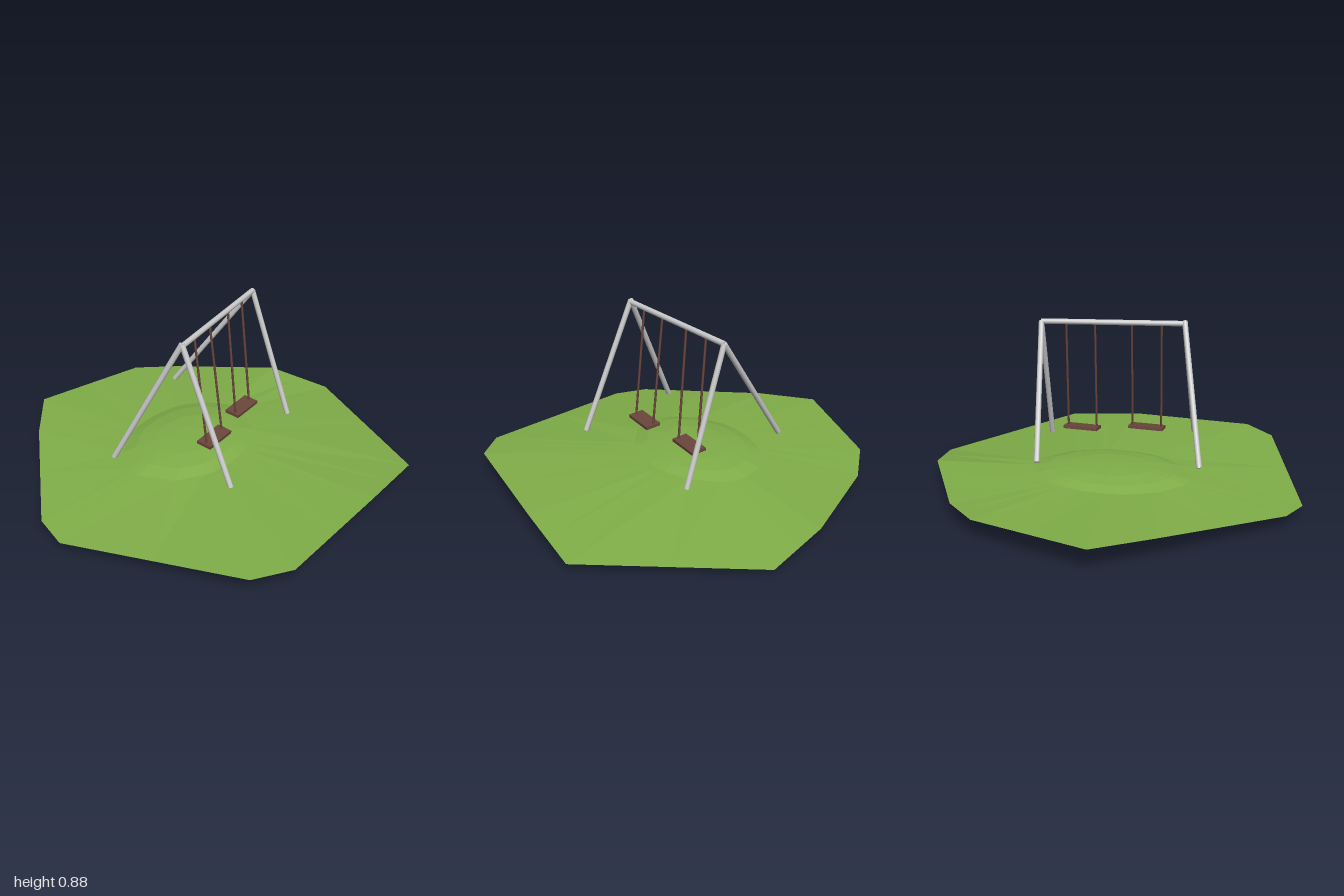
import * as THREE from 'three';

const metal = new THREE.MeshStandardMaterial({ color: 0xcccccc });
const wood = new THREE.MeshStandardMaterial({ color: 0x6b463c });
const grass = new THREE.MeshStandardMaterial({ color: 0x80ae48, flatShading: true, side: THREE.DoubleSide });

// Round bar between two points
function bar(name, a, b, radius, material, sides = 10) {
  const from = new THREE.Vector3(...a), to = new THREE.Vector3(...b);
  const dir = to.clone().sub(from);
  const mesh = new THREE.Mesh(new THREE.CylinderGeometry(radius, radius, dir.length(), sides), material);
  mesh.position.copy(from).add(to).multiplyScalar(0.5);
  mesh.quaternion.setFromUnitVectors(new THREE.Vector3(0, 1, 0), dir.normalize());
  mesh.name = name;
  return mesh;
}

// Uneven lawn edge (x, y, z), clockwise from the back
const edge = [
  [-0.18, 0.12, -0.96], [0.43, 0.103, -0.79], [0.62, 0.085, -0.61], [0.92, 0.092, -0.13],
  [1.0, 0.03, 0.19], [0.51, 0.05, 0.95], [0.1, 0.09, 0.95], [-0.58, 0.1, 0.91],
  [-0.74, 0.09, 0.78], [-1.0, 0.053, -0.09], [-0.94, 0.065, -0.26], [-0.43, 0.112, -0.76],
];

// One skin of the lawn: edge, then oval rings rising (or sinking) to the middle
function lawnSkin(name, rings, up) {
  const cx = -0.03, cz = -0.06, rx = 0.41, rz = 0.3;
  const outline = [];
  edge.forEach((p, i) => {
    const q = edge[(i + 1) % edge.length];
    outline.push(p, p.map((v, k) => (v + q[k]) / 2));
  });
  const n = outline.length;
  const loops = [outline];
  for (const [scale, y] of rings) {
    loops.push(outline.map(([x, , z]) => {
      const a = Math.atan2((z - cz) / rz, (x - cx) / rx);
      return [cx + Math.cos(a) * rx * scale, y, cz + Math.sin(a) * rz * scale];
    }));
  }
  const index = [];
  for (let r = 0; r < loops.length - 1; r++) {
    for (let i = 0; i < n; i++) {
      const a = r * n + i, b = r * n + (i + 1) % n, c = a + n, d = b + n;
      if (up) index.push(b, a, c, b, c, d);
      else index.push(a, b, c, b, d, c);
    }
  }
  const geometry = new THREE.BufferGeometry();
  geometry.setAttribute('position', new THREE.Float32BufferAttribute(loops.flat(2), 3));
  geometry.setIndex(index);
  geometry.computeVertexNormals();
  const mesh = new THREE.Mesh(geometry, grass);
  mesh.name = name;
  return mesh;
}

// Seat hanging on two ropes
function swing(name, tops, bottoms, seatAt) {
  const g = new THREE.Group();
  g.name = name;
  tops.forEach((t, i) => g.add(bar('rope', t, bottoms[i], 0.006, wood, 6)));
  const seat = new THREE.Mesh(new THREE.BoxGeometry(0.183, 0.016, 0.08), wood);
  seat.name = 'seat';
  seat.position.set(...seatAt);
  seat.rotation.x = 0.1;
  g.add(seat);
  return g;
}

export function createModel() {
  const model = new THREE.Group();
  model.name = 'swingSet';

  // Lawn with a low mound above and a shallow bowl below
  const lawn = new THREE.Group();
  lawn.name = 'lawn';
  lawn.add(lawnSkin('lawnTop', [[1, 0.115], [0.8, 0.135], [0.5, 0.149], [0.2, 0.154], [0, 0.155]], true));
  lawn.add(lawnSkin('lawnUnderside', [[1, 0.047], [0.82, 0.022], [0.5, 0.006], [0.2, 0.001], [0, 0]], false));
  model.add(lawn);

  // Frame: top beam and two pairs of splayed legs
  const frame = new THREE.Group();
  frame.name = 'frame';
  const rightTop = [-0.35, 0.862, 0.138], leftTop = [0.378, 0.848, 0.05];
  frame.add(bar('topBeam', rightTop, leftTop, 0.014, metal));
  const lift = ([x, y, z]) => [x, y + 0.01, z];
  frame.add(bar('rightFrontLeg', lift(rightTop), [-0.357, 0.203, 0.42], 0.014, metal));
  frame.add(bar('rightBackLeg', lift(rightTop), [-0.502, 0.224, -0.17], 0.014, metal));
  frame.add(bar('leftFrontLeg', leftTop, [0.41, 0.173, 0.272], 0.014, metal));
  frame.add(bar('leftBackLeg', leftTop, [0.262, 0.246, -0.37], 0.014, metal));
  model.add(frame);

  // Swings
  model.add(swing('rightSwing',
    [[-0.235, 0.86, 0.124], [-0.085, 0.857, 0.106]],
    [[-0.226, 0.285, 0.19], [-0.075, 0.285, 0.175]], [-0.151, 0.285, 0.183]));
  model.add(swing('leftSwing',
    [[0.102, 0.853, 0.083], [0.25, 0.85, 0.066]],
    [[0.111, 0.272, 0.135], [0.262, 0.272, 0.12]], [0.188, 0.272, 0.122]));

  return model;
}
